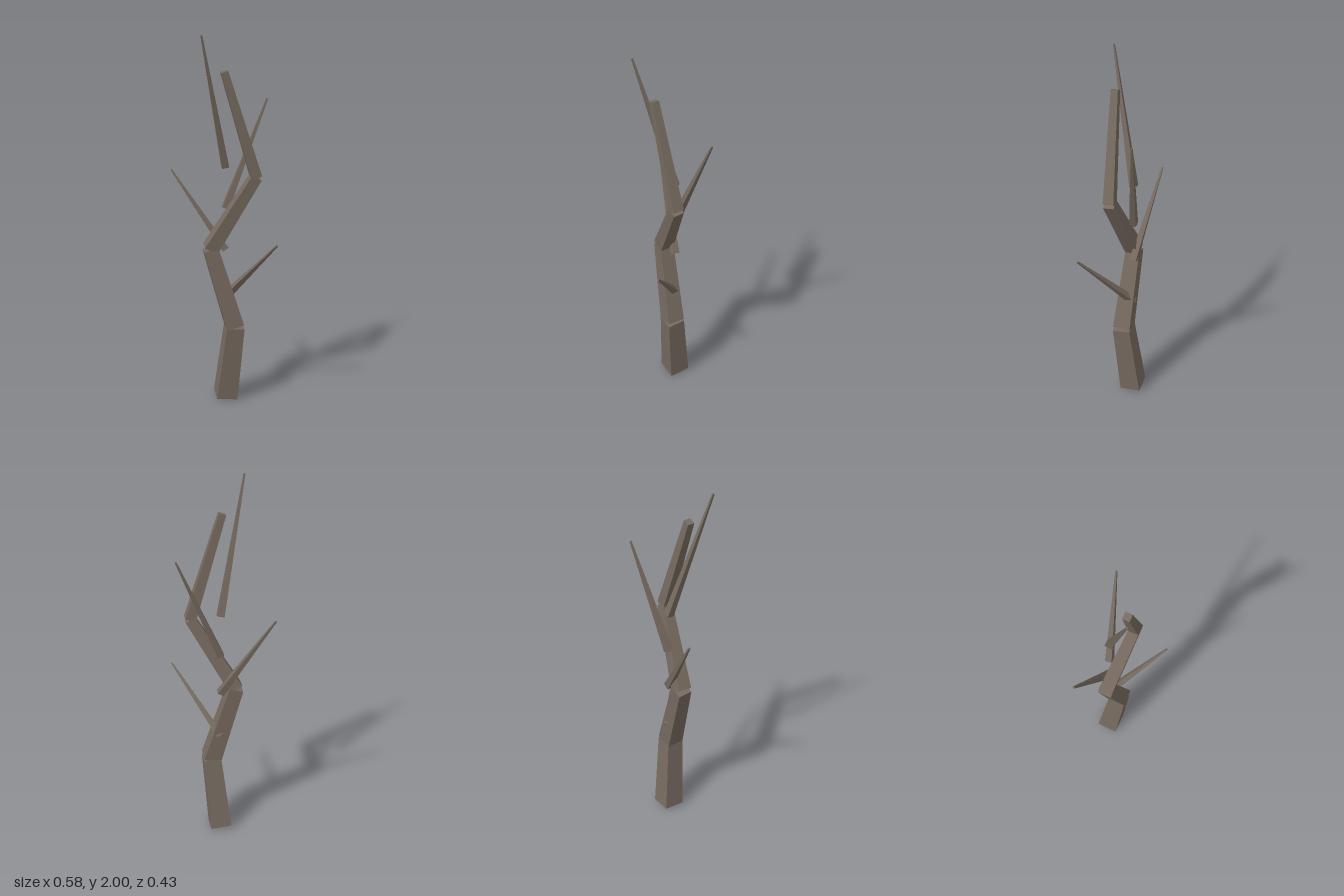
import * as THREE from 'three';

const UP = new THREE.Vector3(0, 1, 0);

export function createModel() {
  const group = new THREE.Group();
  const bark = new THREE.MeshStandardMaterial({ color: 0x766a5f, flatShading: true });
  bark.name = 'bark';

  // Tapered four-sided limb running from one point to another
  function limb(name, from, to, r0, r1) {
    const a = new THREE.Vector3(...from);
    const b = new THREE.Vector3(...to);
    const dir = b.clone().sub(a);
    const mesh = new THREE.Mesh(new THREE.CylinderGeometry(r1, r0, dir.length(), 4), bark);
    mesh.position.copy(a).add(b).multiplyScalar(0.5);
    mesh.quaternion.setFromUnitVectors(UP, dir.normalize());
    mesh.name = name;
    group.add(mesh);
  }

  // Crooked trunk: joints and the radius at each
  const joints = [
    [-0.041, 0.015, 0],
    [0.017, 0.435, 0],
    [-0.085, 0.87, 0.075],
    [0.118, 1.263, -0.048],
    [0.016, 1.813, 0.09],
  ];
  const radii = [0.08, 0.067, 0.054, 0.04, 0.026];
  for (let i = 0; i < 4; i++) {
    limb(`trunkSegment${i + 1}`, joints[i], joints[i + 1], radii[i], radii[i + 1]);
  }

  // Bare branches: base height on the central line, then tip
  const branches = [
    [0.59, [0.283, 0.933, 0.002]],
    [0.855, [-0.284, 1.286, 0.145]],
    [1.08, [0.077, 1.642, -0.213]],
    [1.303, [-0.034, 1.999, 0.21]],
  ];
  branches.forEach(([y, tip], i) => {
    limb(`branch${i + 1}`, [-0.041, y, 0], tip, 0.026, 0.006);
  });

  return group;
}
